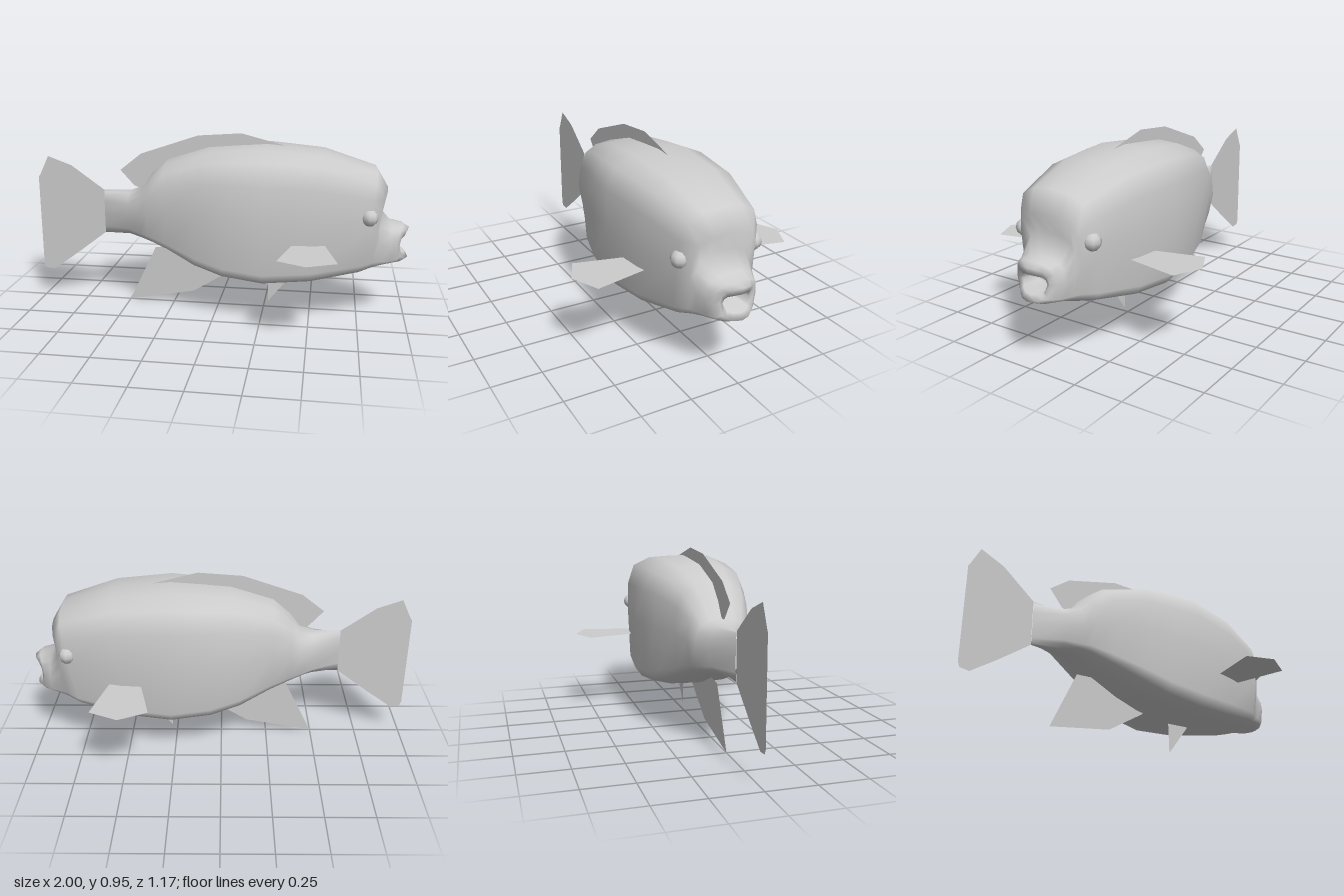
import * as THREE from 'three';

const grey = new THREE.MeshStandardMaterial({ color: 0xcccccc });
grey.name = 'grey';
const finGrey = new THREE.MeshStandardMaterial({ color: 0xcccccc, side: THREE.DoubleSide });
finGrey.name = 'fin grey';

// Half outline of the boxy body section (side, height), from top to bottom
const half = [[0, 1], [0.48, 0.98], [0.84, 0.85], [0.98, 0.53], [1, 0], [0.98, -0.77], [0.85, -0.92], [0.48, -0.99], [0, -1]];
const outline = [...half, ...half.slice(1, -1).reverse().map(([u, v]) => [-u, v])];

// Sections from tail to mouth: xTop, yTop, xBottom, yBottom, halfWidth, roundness, bend
const sections = [
  [-0.63, 0.63, -0.63, 0.39, 0.004, 1, 0],
  [-0.48, 0.635, -0.48, 0.39, 0.095, 0.9, 0],
  [-0.41, 0.66, -0.41, 0.375, 0.135, 0.75, 0],
  [-0.36, 0.73, -0.36, 0.36, 0.16, 0.6, 0],
  [-0.27, 0.81, -0.25, 0.32, 0.195, 0.4, 0],
  [-0.05, 0.88, -0.1, 0.26, 0.25, 0.15, 0],
  [0.1, 0.893, 0.05, 0.22, 0.275, 0.05, 0],
  [0.26, 0.905, 0.26, 0.2, 0.292, 0, 0],
  [0.55, 0.88, 0.5, 0.22, 0.267, 0, 0],
  [0.82, 0.8, 0.74, 0.26, 0.21, 0.15, 0],
  [0.88, 0.7, 0.82, 0.28, 0.172, 0.25, 0.02],
  [0.83, 0.6, 0.86, 0.295, 0.15, 0.3, 0],
  [0.9, 0.52, 0.9, 0.305, 0.135, 0.4, 0],
  [0.97, 0.51, 0.96, 0.31, 0.115, 0.5, 0.03],
  [1.0, 0.49, 1.0, 0.33, 0.088, 0.5, 0.05],
  [0.985, 0.452, 0.985, 0.362, 0.07, 0.5, 0.04],
  [0.88, 0.44, 0.88, 0.38, 0.05, 0.6, 0],
  [0.87, 0.41, 0.87, 0.41, 0, 1, 0],
];

function bodyGeometry() {
  const pos = [], index = [], n = outline.length;
  sections.forEach(([xt, yt, xb, yb, w, round, bend], i) => {
    outline.forEach(([u, v], j) => {
      const r = THREE.MathUtils.lerp(1, 1 / Math.hypot(u, v), round);
      const side = u * r, t = (v * r + 1) / 2;
      pos.push(xb + (xt - xb) * t - bend * side * side, yb + (yt - yb) * t, w * side);
      if (i < sections.length - 1) {
        const a = i * n + j, b = i * n + (j + 1) % n;
        index.push(a, b, a + n, b, b + n, a + n);
      }
    });
  });
  const g = new THREE.BufferGeometry();
  g.setAttribute('position', new THREE.Float32BufferAttribute(pos, 3));
  g.setIndex(index);
  g.computeVertexNormals();
  return g;
}

// Flat fin from an outline in the x-y plane
function fin(name, points) {
  const shape = new THREE.Shape(points.map(([x, y]) => new THREE.Vector2(x, y)));
  const mesh = new THREE.Mesh(new THREE.ShapeGeometry(shape), finGrey);
  mesh.name = name;
  return mesh;
}

export function createModel() {
  const fish = new THREE.Group();
  fish.name = 'fish';

  const body = new THREE.Mesh(bodyGeometry(), grey);
  body.name = 'body';
  fish.add(body);

  // Fins on the centre line
  fish.add(
    fin('tailFin', [[-0.63, 0.63], [-0.81, 0.76], [-0.94, 0.807], [-0.99, 0.705], [-1, 0.69],
      [-1, 0.19], [-0.99, 0.165], [-0.94, 0.16], [-0.8, 0.26], [-0.63, 0.39]]),
    fin('dorsalFin', [[-0.535, 0.743], [-0.42, 0.835], [-0.11, 0.94], [0.12, 0.957], [0.37, 0.893],
      [0.3, 0.86], [-0.05, 0.84], [-0.25, 0.77], [-0.35, 0.68], [-0.42, 0.645], [-0.46, 0.66]]),
    fin('analFin', [[-0.5, 0.003], [-0.14, 0.07], [0.085, 0.21], [0.085, 0.26], [-0.2, 0.33], [-0.35, 0.315]]),
    fin('pelvicFin', [[0.275, 0.035], [0.41, 0.205], [0.4, 0.24], [0.27, 0.24]]),
  );

  // Paired eyes and level side fins
  for (const s of [1, -1]) {
    const eye = new THREE.Mesh(new THREE.SphereGeometry(0.043, 8, 6), grey);
    eye.name = s > 0 ? 'rightEye' : 'leftEye';
    eye.position.set(0.785, 0.583, 0.197 * s);
    fish.add(eye);

    const pectoral = fin(s > 0 ? 'rightPectoralFin' : 'leftPectoralFin',
      [[0.415, 0.24], [0.35, 0.517], [0.49, 0.583], [0.635, 0.517], [0.565, 0.22]]);
    pectoral.rotation.x = s * Math.PI / 2;
    pectoral.position.y = 0.445;
    fish.add(pectoral);
  }
  return fish;
}
